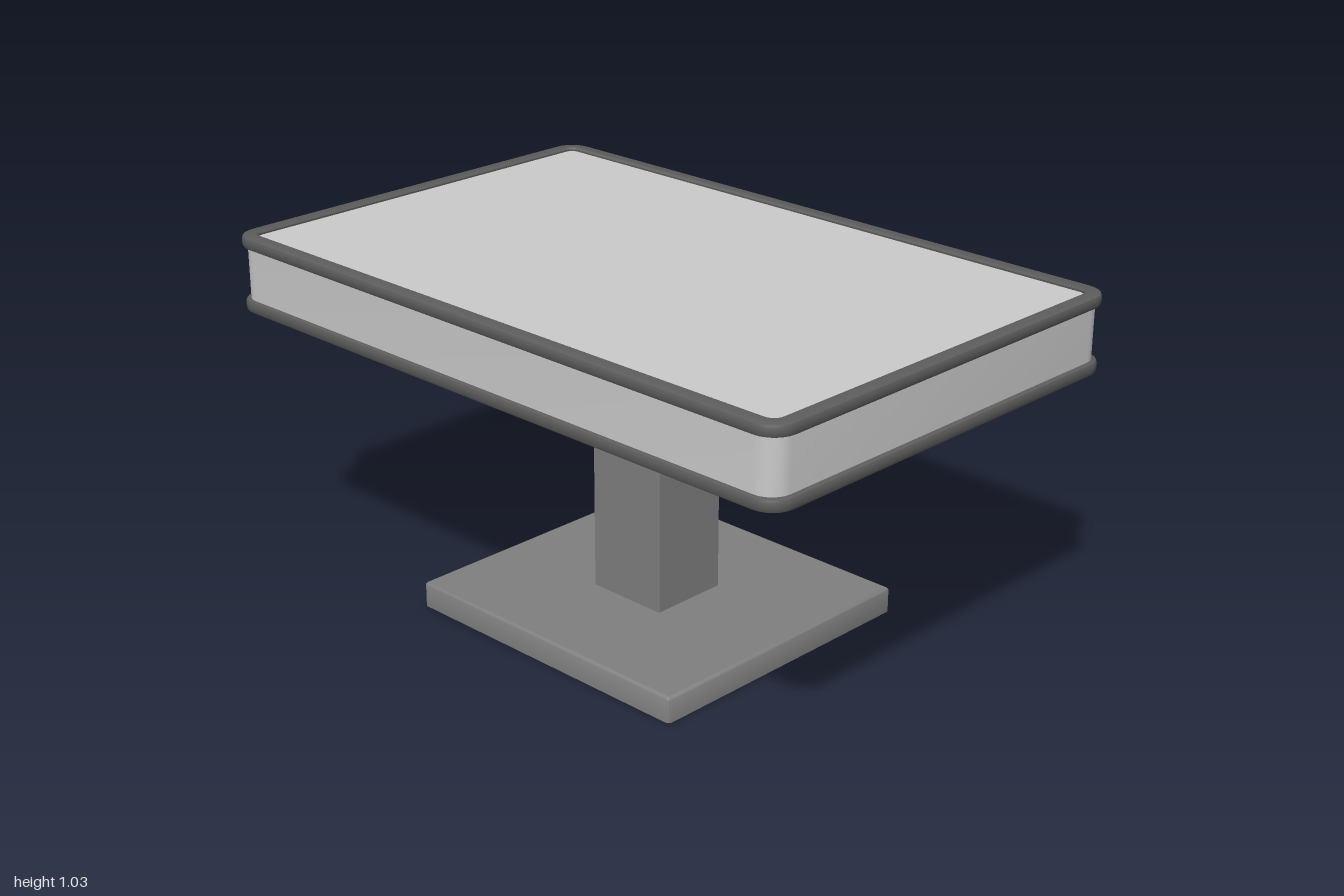
import * as THREE from 'three';
import { toCreasedNormals } from 'three/addons/utils/BufferGeometryUtils.js';

const material = (color) => new THREE.MeshStandardMaterial({ color, side: THREE.DoubleSide });

// Outline of a rounded rectangle with half sizes w, d, as [x, z] corners
function outline(w, d, r, steps) {
  const points = [];
  for (let c = 0; c < 4; c++) {
    const cx = (c === 0 || c === 3 ? 1 : -1) * (w - r);
    const cz = (c < 2 ? 1 : -1) * (d - r);
    for (let i = 0; i <= steps; i++) {
      const a = (c + i / steps) * Math.PI / 2;
      points.push([cx + r * Math.cos(a), cz + r * Math.sin(a)]);
    }
  }
  return points;
}

// Skin a profile of [inset, y] pairs around a rounded rectangle
function loft(w, d, r, profile, steps = 6) {
  const positions = [], index = [], n = 4 * (steps + 1);
  for (const [inset, y] of profile) {
    for (const [x, z] of outline(w - inset, d - inset, Math.max(r - inset, 0.002), steps)) {
      positions.push(x, y, z);
    }
  }
  for (let k = 0; k < profile.length - 1; k++) {
    for (let i = 0; i < n; i++) {
      const a = k * n + i, b = k * n + (i + 1) % n;
      index.push(a, a + n, b, b, a + n, b + n);
    }
  }
  const geometry = new THREE.BufferGeometry();
  geometry.setAttribute('position', new THREE.Float32BufferAttribute(positions, 3));
  geometry.setIndex(index);
  return toCreasedNormals(geometry, 0.7);
}

// Flat horizontal sheet, optionally with a rectangular hole
function sheet(w, d, r, y, hole, up = true) {
  const toPath = (pts) => pts.map(([x, z]) => new THREE.Vector2(x, z));
  const shape = new THREE.Shape(toPath(outline(w, d, r, 6)));
  if (hole) shape.holes.push(new THREE.Path(toPath(outline(hole[0], hole[1], 0.002, 1))));
  return new THREE.ShapeGeometry(shape).rotateX(up ? -Math.PI / 2 : Math.PI / 2).translate(0, y, 0);
}

export function createModel() {
  const table = new THREE.Group();
  table.name = 'pedestalTable';
  const light = material(0xcccccc), grey = material(0x808080), dark = material(0x5d5d5d);
  const add = (name, geometry, mat) => {
    const mesh = new THREE.Mesh(geometry, mat);
    mesh.name = name;
    table.add(mesh);
  };

  const W = 1, D = 0.647, R = 0.07;

  // Raised trim around the upper and lower edges, rounded on the outside
  const rim = (y0, y1) => loft(W, D, R, [
    [0.045, y0], [0.01, y0], [0.003, y0 + 0.003], [0, y0 + 0.01],
    [0, y1 - 0.01], [0.003, y1 - 0.003], [0.01, y1], [0.04, y1], [0.045, y1 - 0.005], [0.045, y0],
  ]);
  add('upperRim', rim(0.995, 1.03), dark);
  add('lowerRim', rim(0.812, 0.848), dark);

  // Side band and the recessed panels
  add('sideBand', loft(W - 0.015, D - 0.012, 0.06, [[0, 0.83], [0, 1.01]]), light);
  add('topPanel', sheet(W - 0.04, D - 0.04, 0.03, 1.02), light);
  add('bottomPanel', sheet(W - 0.04, D - 0.04, 0.03, 0.822, null, false), dark);

  // Hollow square post
  const post = [0.126, 0.119];
  add('post', loft(post[0], post[1], 0.002, [[0, 0.072], [0, 0.823]], 1), grey);

  // Foot: a shallow shell, open below and into the post
  add('footSides', loft(0.48, 0.446, 0.012, [[0, 0], [0, 0.066], [0.003, 0.07], [0.01, 0.073]], 3), grey);
  add('footTop', sheet(0.47, 0.436, 0.002, 0.073, post), grey);
  return table;
}
